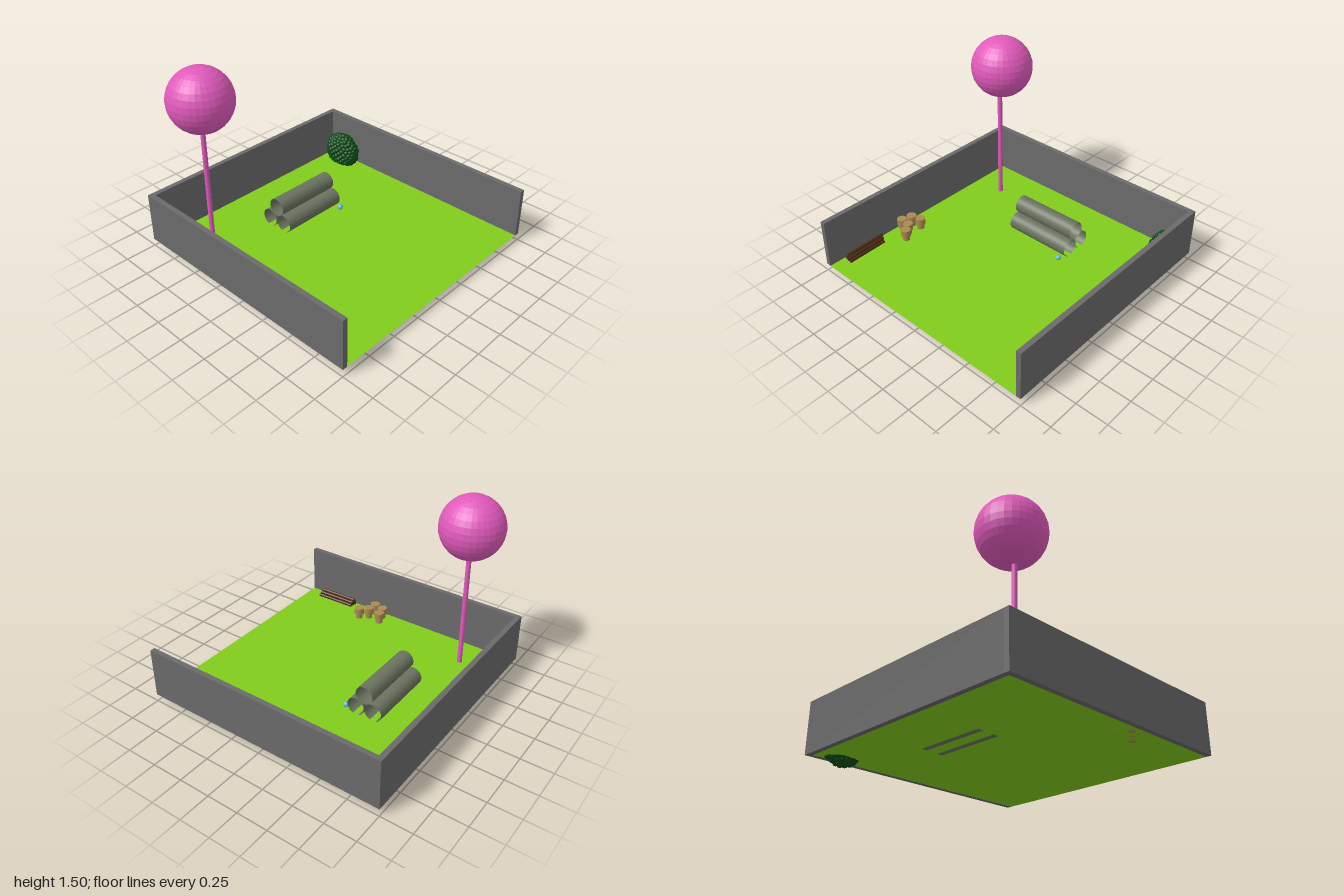
import * as THREE from 'three';

const GROUND = 0.07;

function mat(color, extra = {}) {
  return new THREE.MeshStandardMaterial({ color, ...extra });
}

export function createModel() {
  const root = new THREE.Group();

  function add(parent, name, geometry, material, x, y, z) {
    const mesh = new THREE.Mesh(geometry, material);
    mesh.name = name;
    mesh.position.set(x, y, z);
    parent.add(mesh);
    return mesh;
  }
  function group(name) {
    const g = new THREE.Group();
    g.name = name;
    root.add(g);
    return g;
  }

  // Lawn: thin sheet between the walls
  const lawn = new THREE.PlaneGeometry(1.92, 1.96).rotateX(-Math.PI / 2);
  add(root, 'lawn', lawn, mat(0x82cc1c, { side: THREE.DoubleSide }), 0, GROUND, 0.02);

  // Walls on three sides, open at the front
  const walls = group('walls');
  const wallMat = mat(0x6a6a6a);
  const wallY = GROUND + 0.2;
  for (const side of [-1, 1]) {
    add(walls, side > 0 ? 'leftWall' : 'rightWall',
      new THREE.BoxGeometry(0.04, 0.4, 2), wallMat, side * 0.98, wallY, 0);
  }
  add(walls, 'backWall', new THREE.BoxGeometry(1.92, 0.4, 0.04), wallMat, 0, wallY, -0.98);

  // Ball tree: thin pole with a big faceted sphere
  const tree = group('ballTree');
  const pink = mat(0xe05abb, { flatShading: true });
  add(tree, 'pole', new THREE.CylinderGeometry(0.019, 0.019, 1.0, 16), pink, -0.7, GROUND + 0.5, -0.65);
  add(tree, 'crown', new THREE.SphereGeometry(0.247, 32, 16), pink, -0.685, 1.265, -0.66);

  // Stack of three open pipes
  const pipes = group('pipes');
  const pipeMat = mat(0x6b735f, { side: THREE.DoubleSide });
  const pipeGeo = new THREE.CylinderGeometry(0.072, 0.072, 0.56, 32, 1, true).rotateZ(Math.PI / 2);
  [[0.04, 0.138, -0.346], [0.033, 0.138, -0.49], [0.036, 0.263, -0.415]].forEach(([x, y, z], i) =>
    add(pipes, 'pipe' + (i + 1), pipeGeo, pipeMat, x, y, z));

  // Small ball beside the pipes
  add(root, 'smallBall', new THREE.SphereGeometry(0.022, 16, 12), mat(0x62bcd0), 0.29, GROUND + 0.021, -0.24);

  // Stools: wide seat on a narrower foot
  const stools = group('stools');
  const stoolMat = mat(0xa98a52);
  const seatGeo = new THREE.CylinderGeometry(0.04, 0.04, 0.056, 20);
  const footGeo = new THREE.CylinderGeometry(0.03, 0.03, 0.04, 20);
  [[-0.897, 0.215], [-0.815, 0.193], [-0.918, 0.3], [-0.834, 0.312], [-0.784, 0.378]].forEach(([x, z]) => {
    add(stools, 'stoolSeat', seatGeo, stoolMat, x, GROUND + 0.067, z);
    add(stools, 'stoolFoot', footGeo, stoolMat, x, GROUND + 0.02, z);
  });

  // Log pile: rows of three, two and one, slightly staggered
  const logs = group('logPile');
  const logMat = mat(0x4c2a18, { flatShading: true });
  const r = 0.0135;
  const logGeo = new THREE.CylinderGeometry(r, r, 0.34, 8).rotateX(Math.PI / 2);
  for (let row = 0; row < 3; row++) {
    for (let i = 0; i < 3 - row; i++) {
      const log = add(logs, 'log', logGeo, logMat,
        (i - (2 - row) / 2) * 2 * r, r + row * r * 1.73, 0.005 * (i - row * 0.5));
      log.rotation.z = i + row;
    }
  }
  logs.position.set(-0.905, GROUND, 0.693);
  logs.rotation.y = 0.02;

  // Bush: small leaf balls spread over a tilted ellipsoid
  const bush = group('bush');
  const bushMat = mat(0x0b4a12, { flatShading: true });
  const leafGeo = new THREE.IcosahedronGeometry(0.025, 1);
  const count = 190;
  for (let i = 0; i < count; i++) {
    const v = 1 - (2 * (i + 0.5)) / count;
    const ring = Math.sqrt(1 - v * v);
    const a = i * 2.39996;
    const swell = 0.97 + 0.03 * Math.sin(i * 7.3);
    add(bush, 'leafBall', leafGeo, bushMat,
      0.085 * ring * Math.cos(a) * swell, 0.142 * v * swell, 0.15 * ring * Math.sin(a) * swell);
  }
  bush.position.set(0.888, 0.172, -0.773);
  bush.rotation.x = 0.3;

  return root;
}
